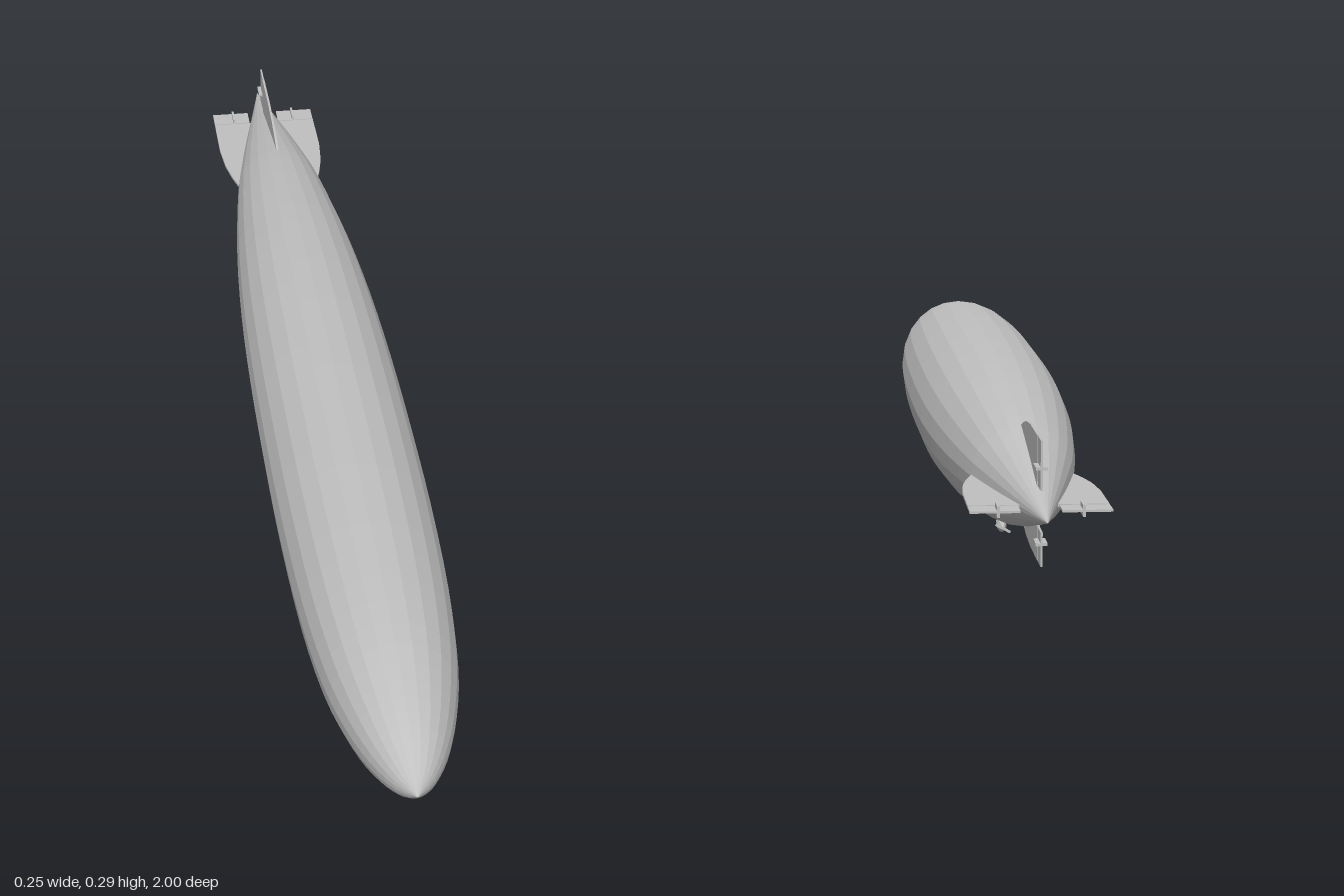
import * as THREE from 'three';

const AXIS = 0.165; // height of the hull's centre line

export function createModel() {
  const model = new THREE.Group();
  const grey = new THREE.MeshStandardMaterial({ color: 0xc0c0c0, flatShading: true });
  grey.name = 'silver grey';

  const add = (parent, name, geometry, x = 0, y = 0, z = 0) => {
    const mesh = new THREE.Mesh(geometry, grey);
    mesh.name = name;
    mesh.position.set(x, y, z);
    parent.add(mesh);
    return mesh;
  };

  // Side outline given as [z, y] points, extruded across x and centred
  const sidePlate = (points, width, bevel = 0) => {
    const shape = new THREE.Shape(points.map(([z, y]) => new THREE.Vector2(z, y)));
    const depth = width - 2 * bevel;
    return new THREE.ExtrudeGeometry(shape, {
      depth, bevelEnabled: bevel > 0, bevelSize: bevel, bevelOffset: -bevel,
      bevelThickness: bevel, bevelSegments: 2,
    }).translate(0, 0, -depth / 2).rotateY(-Math.PI / 2);
  };

  // Thin round strut between two points
  const strut = (parent, name, a, b, radius) => {
    const from = new THREE.Vector3(...a), to = new THREE.Vector3(...b);
    const dir = to.clone().sub(from);
    const mesh = add(parent, name, new THREE.CylinderGeometry(radius, radius, dir.length(), 6));
    mesh.position.copy(from).add(to).multiplyScalar(0.5);
    mesh.quaternion.setFromUnitVectors(new THREE.Vector3(0, 1, 0), dir.normalize());
  };

  // Hull: 24-sided body of revolution, [z, radius] from tail to nose
  const stations = [
    [-1, 0], [-0.9, 0.021], [-0.8, 0.043], [-0.7, 0.063], [-0.6, 0.08], [-0.4, 0.102],
    [-0.2, 0.115], [0, 0.121], [0.2, 0.1225], [0.4, 0.121], [0.6, 0.114], [0.75, 0.1],
    [0.85, 0.08], [0.92, 0.057], [0.97, 0.03], [1, 0],
  ].map(([z, r]) => new THREE.Vector2(r, z));
  const profile = new THREE.SplineCurve(stations).getPoints(45);
  profile.forEach((p) => { p.x = Math.max(p.x, 0); });
  add(model, 'hull', new THREE.LatheGeometry(profile, 24).rotateX(Math.PI / 2), 0, AXIS, 0);

  // Four tail fins with hinged control surfaces; the lower one is shorter
  const finNames = ['upperFin', 'rightFin', 'lowerFin', 'leftFin'];
  finNames.forEach((name, i) => {
    const span = i === 2 ? 0.075 : 0.096;
    const fin = new THREE.Group();
    fin.name = name;
    fin.position.y = AXIS;
    fin.rotation.z = i * Math.PI / 2;
    add(fin, 'fixedFin', sidePlate([
      [-0.62, 0.05], [-0.64, 0.073], [-0.675, span * 0.86], [-0.72, span * 0.95],
      [-0.78, span], [-0.877, span], [-0.877, 0.01], [-0.8, 0.02],
    ], 0.004));
    add(fin, 'controlSurface', sidePlate([
      [-0.88, span], [-0.918, span], [-0.918, 0.028], [-0.88, 0.028],
    ], 0.003));
    // Hinge horn standing across the control surface
    add(fin, 'hingeHorn', new THREE.BoxGeometry(0.016, 0.004, 0.034), 0, span * 0.6, -0.9);
    model.add(fin);
  });

  // Control gondola: broad cabin on a narrower rounded keel
  const gondola = new THREE.Group();
  gondola.name = 'controlGondola';
  add(gondola, 'cabin', sidePlate([
    [0.757, 0.02], [0.757, 0.034], [0.745, 0.036], [0.66, 0.035], [0.615, 0.026],
    [0.608, 0.017], [0.65, 0.016], [0.74, 0.016],
  ], 0.034, 0.002));
  add(gondola, 'keel', sidePlate([
    [0.75, 0.018], [0.742, 0.009], [0.7, 0.004], [0.65, 0], [0.62, 0.001],
    [0.608, 0.008], [0.61, 0.018],
  ], 0.028, 0.005));
  add(gondola, 'accessShaft', new THREE.BoxGeometry(0.012, 0.04, 0.018), 0, 0.052, 0.715);
  for (const x of [-0.008, 0.008])
    for (const z of [0.74, 0.69])
      add(gondola, 'gondolaPost', new THREE.BoxGeometry(0.004, 0.036, 0.008), x, 0.051, z);
  model.add(gondola);

  // Engine car: tapered nacelle, cooler, posts and two-bladed propeller
  const engineCar = (name, x, y, z, hullY) => {
    const car = new THREE.Group();
    car.name = name;
    car.position.set(x, y, z);
    const body = [[-0.032, 0.001], [-0.028, 0.004], [-0.012, 0.008], [0.01, 0.009],
      [0.024, 0.007], [0.03, 0.001]].map(([l, r]) => new THREE.Vector2(r, l));
    add(car, 'nacelle', new THREE.LatheGeometry(body, 10).rotateX(Math.PI / 2)
      .scale(0.9, 1.25, 1));
    add(car, 'cooler', new THREE.BoxGeometry(0.014, 0.006, 0.018), 0, 0.015, 0.014);
    for (const dz of [-0.01, 0.014])
      strut(car, 'carPost', [0, 0.006, dz], [0, hullY - y, dz], 0.002);
    add(car, 'propeller', new THREE.BoxGeometry(0.026, 0.004, 0.002), 0, 0, -0.032)
      .rotation.z = 0.5;
    model.add(car);
  };
  engineCar('leftEngineCar', 0.064, 0.034, 0.23, 0.068);
  engineCar('rightEngineCar', -0.064, 0.034, 0.23, 0.068);
  engineCar('rearEngineCar', 0, 0.023, -0.285, 0.062);

  // Bracing from the side cars in to the bottom of the hull
  for (const s of [-1, 1])
    for (const z of [0.215, 0.245])
      strut(model, 'braceWire', [s * 0.058, 0.026, z], [s * 0.018, 0.046, z], 0.0009);

  return model;
}
